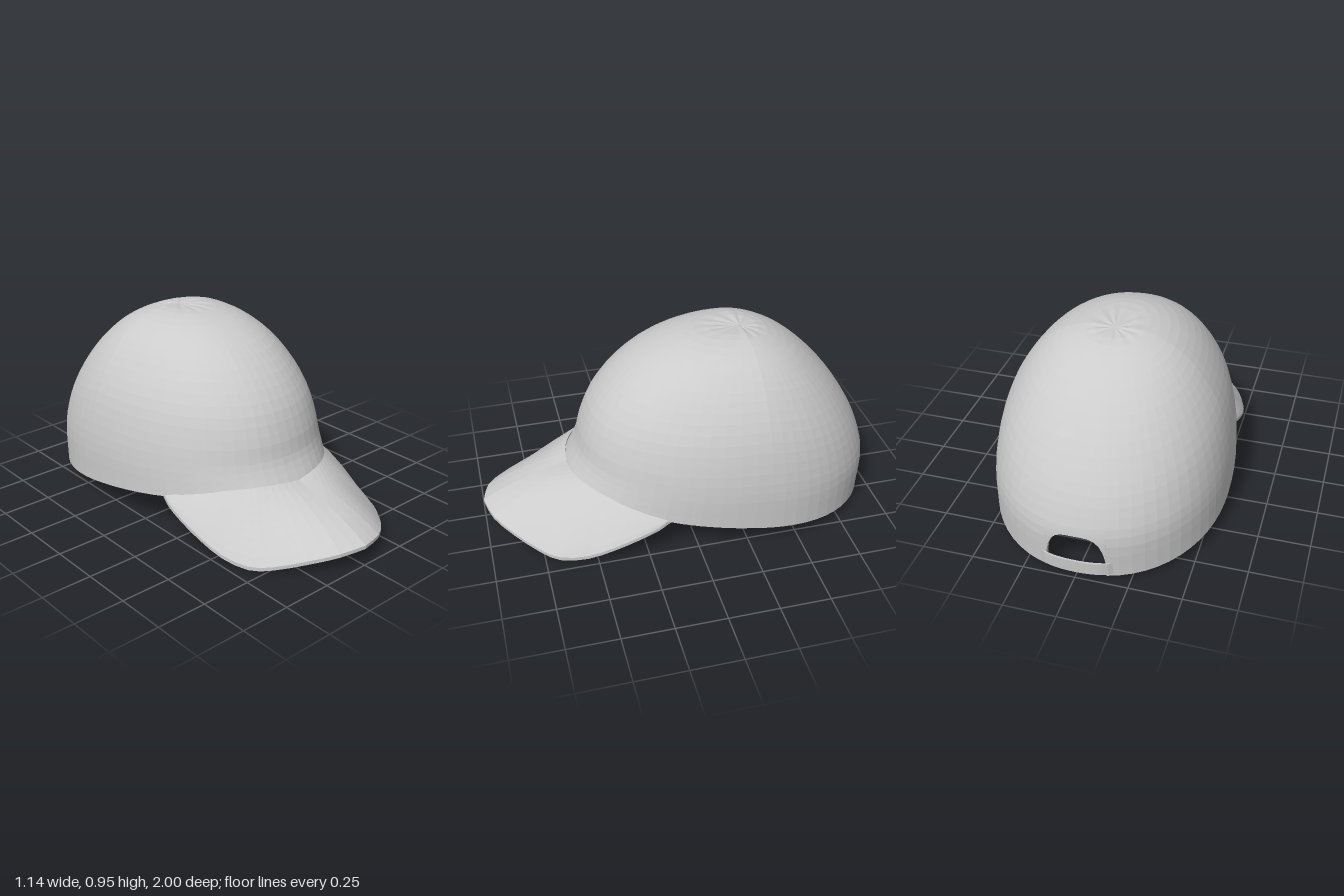
import * as THREE from 'three';

const V = (x, y, z = 0) => new THREE.Vector3(x, y, z);
const lerp = THREE.MathUtils.lerp;
const curve = pts => new THREE.CatmullRomCurve3(pts.map(p => V(...p)), false, 'catmullrom', 0.5);

// Crown profiles from apex to rim: [distance from the crown axis, height]
const AXIS_Z = -0.33;
const front = curve([[0, .939], [.21, .949], [.37, .917], [.53, .845], [.66, .74], [.76, .61], [.815, .48], [.845, .37], [.905, .26]]);
const side = curve([[0, .939], [.13, .943], [.26, .9], [.36, .825], [.44, .725], [.505, .6], [.545, .46], [.567, .3], [.57, .112]]);
const back = curve([[0, .939], [.12, .924], [.25, .859], [.37, .757], [.48, .63], [.57, .49], [.63, .36], [.665, .22], [.655, .02]]);

// Point on the crown: s runs apex to rim, theta turns from the front, inset goes inward
function crownPoint(s, theta, inset = 0) {
  const c = Math.cos(theta), d = Math.sin(theta), n = 2.15;
  const f = (Math.abs(c) ** n + Math.abs(d) ** n) ** (-1 / n);
  const a = side.getPoint(s), b = (c > 0 ? front : back).getPoint(s);
  const pleat = s < 0.15 ? 0.002 * Math.sin(Math.PI * s / 0.15) * Math.cos(12 * theta) : 0;
  return V(
    Math.max(a.x - inset * s, 0) * d * f,
    lerp(a.y, b.y, Math.abs(c * f)) - inset * (1 - s) + pleat,
    AXIS_Z + Math.max(b.x - inset * s, 0) * c * f
  );
}

// Where a crown column reaches a given height
function sAtHeight(y, theta) {
  let lo = 0.3, hi = 1;
  for (let i = 0; i < 24; i++) {
    const m = (lo + hi) / 2;
    if (crownPoint(m, theta).y > y) lo = m; else hi = m;
  }
  return lo;
}

// Skin neighbouring columns of points
function skin(name, columns, wrap, loop) {
  const n = columns[0].length, m = columns.length, idx = [];
  for (let i = 0; i < (wrap ? m : m - 1); i++) {
    for (let j = 0; j < (loop ? n : n - 1); j++) {
      const i2 = (i + 1) % m, j2 = (j + 1) % n;
      const a = i * n + j, b = i * n + j2, c = i2 * n + j, d = i2 * n + j2;
      idx.push(a, b, c, c, b, d);
    }
  }
  let geo = new THREE.BufferGeometry().setFromPoints(columns.flat());
  geo.setIndex(idx);
  geo = geo.toNonIndexed();
  geo.computeVertexNormals();
  const mesh = new THREE.Mesh(geo, new THREE.MeshStandardMaterial({
    color: 0xcccccc, flatShading: true, side: THREE.DoubleSide
  }));
  mesh.name = name;
  return mesh;
}

// Double-walled crown with an arched opening at the back
function makeCrown() {
  const UPPER = 18, LOWER = 5, SPLIT = 0.82, COLS = 58, HOLE = 0.25, WALL = 0.014;
  // Rows above the opening are shared; the lowest rows end at the rim or the arch
  const column = (theta, sEnd) => {
    const outer = [], inner = [];
    for (let j = 0; j <= UPPER + LOWER; j++) {
      const s = j <= UPPER ? lerp(0.004, SPLIT, j / UPPER) : lerp(SPLIT, sEnd, (j - UPPER) / LOWER);
      outer.push(crownPoint(s, theta));
      inner.unshift(crownPoint(s, theta, WALL));
    }
    return [...outer, ...inner];
  };
  const columns = [];
  for (let i = 0; i <= COLS; i++) {
    columns.push(column(lerp(-1, 1, i / COLS) * (Math.PI - HOLE), 1));
  }
  for (let i = 0; i <= 14; i++) {
    const k = -Math.cos(Math.PI * i / 14), theta = Math.PI + HOLE * k;
    const arch = 0.06 + 0.18 * Math.sqrt(Math.max(0, 1 - k ** 4));
    columns.push(column(theta, sAtHeight(arch, theta)));
  }
  return skin('crown', columns, true, false);
}

// Band following the crown, its ends easing into the wall
function makeBand(name, mid, half, s0, s1, outer, inner, n) {
  const columns = [];
  for (let i = 0; i <= n; i++) {
    const k = lerp(-1, 1, i / n), theta = mid + half * k, e = 1 - k ** 8;
    columns.push([[s0, outer], [s1, outer], [s1, inner], [s0, inner]]
      .map(([s, inset]) => crownPoint(s, theta, inset * e)));
  }
  return skin(name, columns, false, true);
}

// Arched visor between the crown rim and a curved outer edge
function makeVisor() {
  const edge = curve([[0, .1, 1], [.13, .09, .965], [.25, .062, .88], [.36, .025, .77], [.43, .013, .68],
    [.475, .032, .55], [.503, .083, .42], [.512, .13, .3], [.506, .165, .2], [.49, .192, .14]]);
  const N = 36, M = 9, columns = [];
  for (let i = 0; i <= N; i++) {
    const k = lerp(-1, 1, i / N), t = Math.abs(k);
    const root = crownPoint(1, 1.03 * k, 0.01);
    root.y += 0.022 * Math.sin(Math.PI * t);
    const tip = edge.getPoint(t);
    if (k < 0) tip.x *= -1;
    const top = [], under = [];
    for (let j = 0; j <= M; j++) {
      const p = root.clone().lerp(tip, j / M);
      p.y += 0.016 * Math.sin(Math.PI * j / M) * (1 - t * t);
      const h = j === M ? 0.009 : 0.013;
      top.push(V(p.x, p.y + h, p.z));
      under.unshift(V(p.x, p.y - h, p.z));
    }
    columns.push([...top, ...under]);
  }
  return skin('visor', columns, false, true);
}

export function createModel() {
  const cap = new THREE.Group();
  cap.name = 'cap';
  cap.add(
    makeCrown(),
    makeVisor(),
    makeBand('backStrap', Math.PI, 0.3, 0.95, 0.99, -0.013, -0.002, 16),
    makeBand('sweatband', 0, 1.15, 0.9, 0.995, 0.012, 0.024, 30)
  );
  return cap;
}
